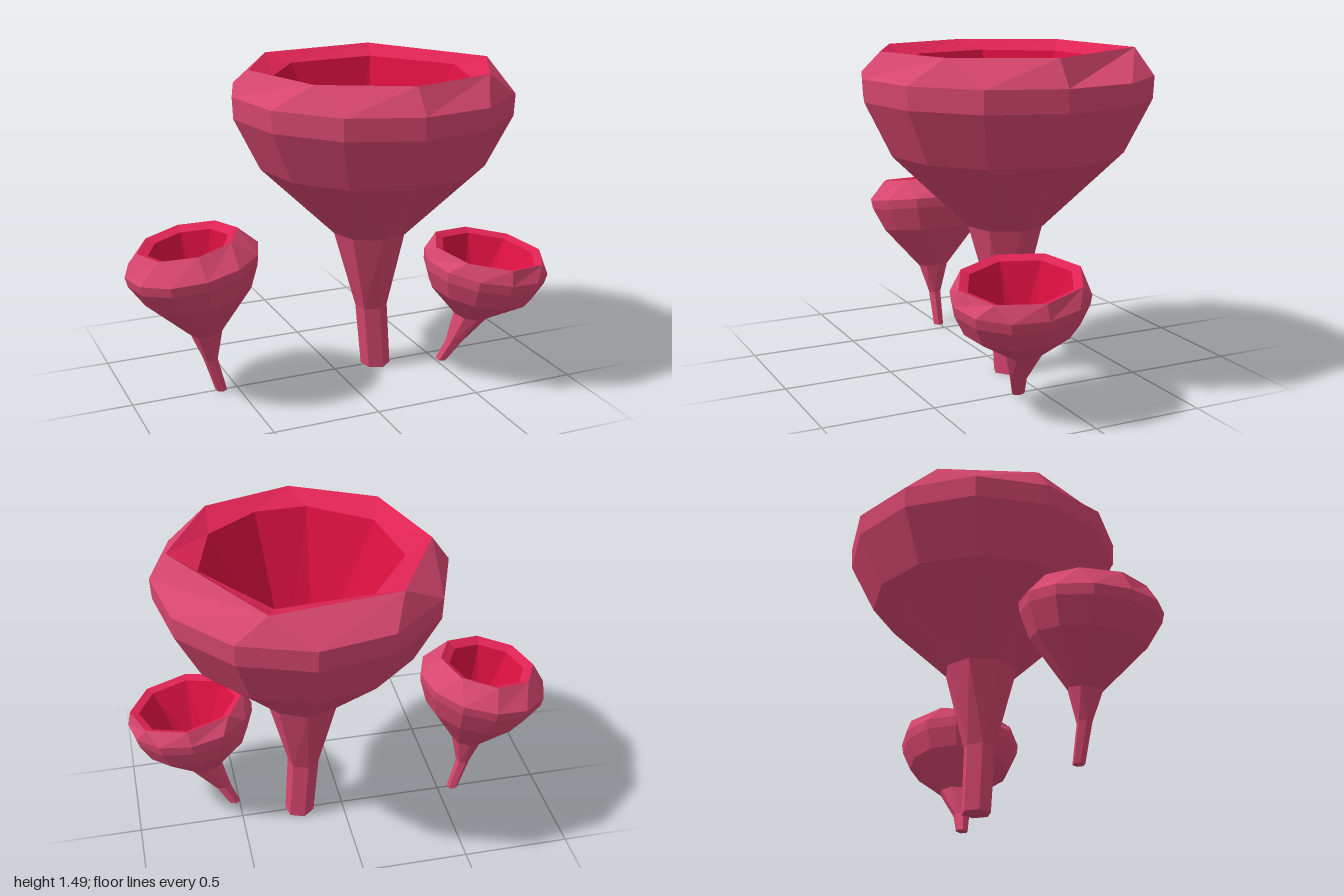
import * as THREE from 'three';

const skin = new THREE.MeshStandardMaterial({ color: 0xd6466e });
skin.name = 'dusty pink skin';
const lip = new THREE.MeshStandardMaterial({ color: 0xde2354 });
lip.name = 'rose lip';
const hollow = new THREE.MeshStandardMaterial({ color: 0xd8103f });
hollow.name = 'crimson hollow';

// Evenly spaced angles in degrees
const even = (n, phase) => Array.from({ length: n }, (_, i) => phase + (i * 360) / n);

// One cross-section; slope tilts it as y += dx * sx + dz * sz
function ring([x, y, z], r, angles, [sx, sz] = [0, 0]) {
  const points = angles.map((a) => {
    const dx = r * Math.cos((a * Math.PI) / 180);
    const dz = r * Math.sin((a * Math.PI) / 180);
    return [x + dx, y + dx * sx + dz * sz, z + dz];
  });
  const centre = [x, y, z];
  return { points, angles, centre };
}

// Skin between two rings whose corner counts may differ
function bridge(a, b, out) {
  const n = a.points.length, m = b.points.length;
  const next = (r, i) => r.angles[(i + 1) % r.angles.length] + (i + 1 >= r.angles.length ? 360 : 0);
  let i = 0, j = 0;
  while (i < n || j < m) {
    const p = a.points[i % n], q = b.points[j % m];
    if (j >= m || (i < n && next(a, i) <= next(b, j))) {
      i++;
      out.push(...p, ...q, ...a.points[i % n]);
    } else {
      j++;
      out.push(...p, ...q, ...b.points[j % m]);
    }
  }
}

function cap(r, up, out) {
  r.points.forEach((p, i) => {
    const q = r.points[(i + 1) % r.points.length];
    out.push(...r.centre, ...(up ? q : p), ...(up ? p : q));
  });
}

function loft(name, rings, material, { bottom = false, floor = false } = {}) {
  const out = [];
  for (let k = 0; k + 1 < rings.length; k++) bridge(rings[k], rings[k + 1], out);
  if (bottom) cap(rings[0], false, out);
  if (floor) cap(rings[rings.length - 1], true, out);
  const geometry = new THREE.BufferGeometry();
  geometry.setAttribute('position', new THREE.Float32BufferAttribute(out, 3));
  geometry.computeVertexNormals();
  const mesh = new THREE.Mesh(geometry, material);
  mesh.name = name;
  return mesh;
}

// Stem, outer cup, lip and hollow of one funnel
function funnel(name, { stem, cup, opening, floor }) {
  const group = new THREE.Group();
  group.name = name;
  group.add(
    loft('stem', stem, skin, { bottom: true }),
    loft('outerCup', [stem[stem.length - 1], ...cup], skin),
    loft('lip', [cup[cup.length - 1], opening], lip),
    loft('hollow', [opening, floor], hollow, { floor: true })
  );
  return group;
}

export function createModel() {
  const model = new THREE.Group();
  model.name = 'funnelCluster';
  const a12 = even(12, 4.5), a8 = even(8, 5), a6 = even(6, 20);

  // Large upright funnel
  model.add(funnel('largeFunnel', {
    stem: [
      ring([0.215, 0, 0], 0.071, a6),
      ring([0.19, 0.31, 0], 0.076, a6),
      ring([0.18, 0.69, 0], 0.178, a8),
    ],
    cup: [
      ring([0.18, 1.03, 0], 0.53, a12),
      ring([0.18, 1.27, 0], 0.65, a12),
      ring([0.18, 1.37, 0], 0.655, a12),
      ring([0.18, 1.485, 0], 0.575, [5, 52, 95, 139, 185, 233, 293]),
    ],
    opening: ring([0.18, 1.44, 0], 0.453, [36, 73, 104, 148, 193, 238, 294, 354]),
    floor: ring([0.18, 0.76, 0], 0.168, even(8, 27)),
  }));

  // Small funnel leaning to the right
  const t = [0.17, 0];
  model.add(funnel('rightFunnel', {
    stem: [
      ring([-0.578, 0, 0], 0.027, a6),
      ring([-0.625, 0.165, 0], 0.033, a6),
      ring([-0.637, 0.305, 0], 0.075, a8, t),
    ],
    cup: [
      ring([-0.668, 0.505, 0], 0.245, a12, t),
      ring([-0.69, 0.615, 0], 0.298, a12, t),
      ring([-0.695, 0.66, 0], 0.305, a12, t),
      ring([-0.713, 0.752, 0], 0.228, a8, t),
    ],
    opening: ring([-0.71, 0.73, 0], 0.182, a8, t),
    floor: ring([-0.665, 0.38, 0], 0.075, even(8, 27), t),
  }));

  // Small wide funnel leaning to the left and front
  const s = [-0.12, -0.1];
  model.add(funnel('leftFunnel', {
    stem: [
      ring([0.525, 0.012, 0.11], 0.03, a6, [0, -0.1]),
      ring([0.575, 0.105, 0.137], 0.04, a6, s),
      ring([0.655, 0.243, 0.153], 0.082, a8, s),
    ],
    cup: [
      ring([0.683, 0.385, 0.185], 0.25, a12, s),
      ring([0.695, 0.475, 0.193], 0.29, a12, s),
      ring([0.702, 0.522, 0.196], 0.297, a12, s),
      ring([0.713, 0.588, 0.2], 0.272, a8, s),
    ],
    opening: ring([0.712, 0.572, 0.2], 0.232, a8, s),
    floor: ring([0.67, 0.3, 0.17], 0.08, even(8, 27), s),
  }));

  return model;
}
